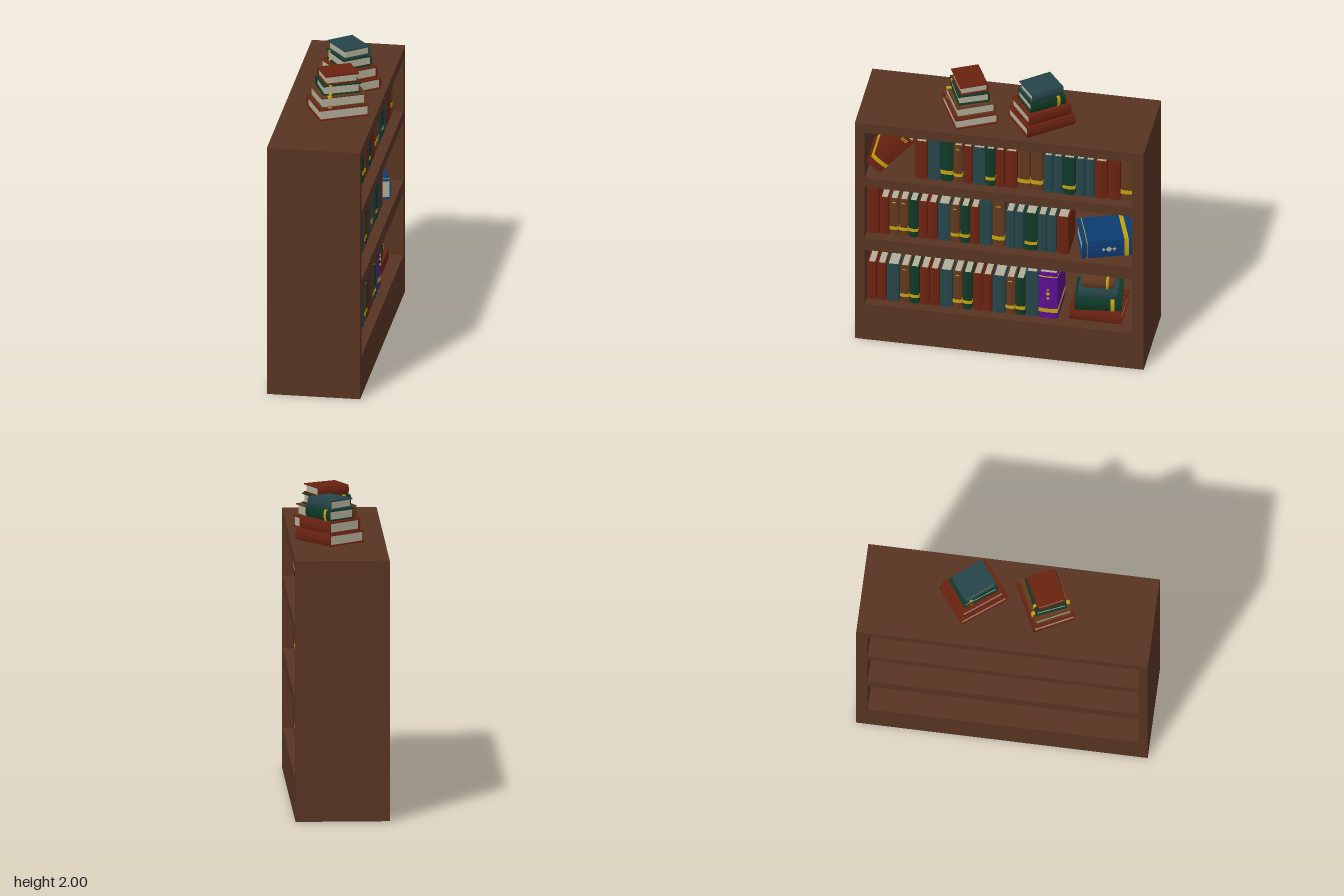
import * as THREE from 'three';

const mat = (name, color) => {
  const m = new THREE.MeshStandardMaterial({ color });
  m.name = name;
  return m;
};

export function createModel() {
  const M = {
    wood: mat('wood', 0x573422),
    r: mat('red cover', 0x6a2210),
    b: mat('slate blue cover', 0x254449),
    g: mat('green cover', 0x0f3825),
    n: mat('brown cover', 0x61381e),
    purple: mat('purple cover', 0x5a1090),
    royal: mat('royal blue cover', 0x0c3c72),
    page: mat('paper', 0xb2ad98),
    gold: mat('gold', 0xc4a010),
  };
  const model = new THREE.Group();
  model.name = 'bookcase';

  const add = (parent, name, geo, material, x = 0, y = 0, z = 0) => {
    const mesh = new THREE.Mesh(geo, material);
    mesh.name = name;
    mesh.position.set(x, y, z);
    parent.add(mesh);
    return mesh;
  };

  // Case: one slab with three openings that go right through
  const rect = (Type, x0, y0, x1, y1) => {
    const s = new Type();
    s.moveTo(x0, y0); s.lineTo(x1, y0); s.lineTo(x1, y1); s.lineTo(x0, y1); s.closePath();
    return s;
  };
  const face = rect(THREE.Shape, -0.95, 0, 0.95, 1.713);
  for (const [y0, y1] of [[0.278, 0.71], [0.803, 1.21], [1.28, 1.64]])
    face.holes.push(rect(THREE.Path, -0.886, y0, 0.875, y1));
  const caseGeo = new THREE.ExtrudeGeometry(face, { depth: 0.61, bevelEnabled: false });
  caseGeo.translate(0, 0, -0.305);
  caseGeo.rotateY(Math.PI / 2);
  add(model, 'case', caseGeo, M.wood);

  // U-shaped cover wrap with a gently curved spine, extruded upward from y0 to y1
  const wrap = (depth, thick, y0, y1, grow = 0) => {
    const x0 = -depth / 2 - grow, x1 = depth / 2 + grow, t = thick / 2 + grow;
    const board = 0.008, i = thick / 2 - board, xi = depth / 2 - 0.012;
    const s = new THREE.Shape();
    s.moveTo(x0, -t);
    s.lineTo(x1 - 0.008, -t);
    s.quadraticCurveTo(x1 + 0.006, 0, x1 - 0.008, t);
    s.lineTo(x0, t);
    s.lineTo(x0, i);
    s.lineTo(xi, i);
    s.lineTo(xi, -i);
    s.lineTo(x0, -i);
    s.closePath();
    const geo = new THREE.ExtrudeGeometry(s, { depth: y1 - y0, bevelEnabled: false, curveSegments: 4 });
    geo.rotateX(-Math.PI / 2);
    geo.translate(0, y0, 0);
    return geo;
  };

  // Book: spine toward +x, head toward +y, centred on its own middle
  const makeBook = (name, cover, thick, h, depth, bands = [], titles = []) => {
    const book = new THREE.Group();
    book.name = name;
    add(book, 'cover', wrap(depth, thick, -h / 2, h / 2), cover);
    add(book, 'pages', new THREE.BoxGeometry(depth - 0.022, h - 0.024, thick - 0.016), M.page, 0.0, 0, 0);
    for (const [a, b] of bands)
      add(book, 'band', wrap(depth, thick, (a - 0.5) * h, (b - 0.5) * h, 0.0015), M.gold);
    for (const f of titles)
      add(book, 'titleLine', new THREE.BoxGeometry(0.006, 0.005, thick * 0.4), M.gold, depth / 2, (f - 0.5) * h, 0);
    model.add(book);
    return book;
  };
  const BAND = [[0.15, 0.235]];
  const bandsFor = (c) => (c === 'g' || c === 'n' ? BAND : []);

  // Upright rows: letter = cover, capital = thick book, + = tall book
  const rows = [
    [1.28, 0.57, 1, 'R B+ G+ n r B g r R N+ N+ b b G b b R R+ N+'],
    [0.803, 0.886, 1, 'R+ r n n g r r B n g r B+ N+ b b G b b R'],
    [0.278, 0.886, 1.027, 'r r B n g r r B n g r r B n g B+'],
  ];
  for (const [y, start, scale, text] of rows) {
    let z = start;
    for (const code of text.split(' ')) {
      const c = code[0].toLowerCase();
      const pitch = (code[0] === c ? 0.0635 : 0.0845) * scale;
      const h = code[1] ? 0.353 : 0.29;
      const depth = code[1] ? 0.27 : 0.24;
      const book = makeBook('uprightBook', M[c], pitch - 0.006, h, depth, bandsFor(c), c === 'n' ? [0.9] : []);
      book.position.set(0.24 - depth / 2, y + h / 2, z - pitch / 2);
      z -= pitch;
    }
  }

  // Leaning red book
  const leaning = makeBook('leaningBook', M.r, 0.12, 0.346, 0.27, BAND, [0.9, 0.94]);
  leaning.position.set(0.105, 1.459, 0.731);
  leaning.rotation.x = -0.7;

  // Large purple book with a diamond ornament
  const purple = makeBook('purpleBook', M.purple, 0.124, 0.36, 0.28, [[0.13, 0.21], [0.9, 0.925]]);
  purple.position.set(0.1, 0.458, -0.308);
  for (const [y, s] of [[0.045, 0.012], [0.015, 0.02], [-0.02, 0.014]]) {
    const d = add(purple, 'ornament', new THREE.BoxGeometry(0.006, s, s), M.gold, 0.1415, y, 0);
    d.rotation.x = Math.PI / 4;
  }

  // Lay a book flat with its head toward +z, then turn it
  const layFlat = (book, x, y, z, yaw) => {
    book.position.set(x, y, z);
    book.rotation.set(Math.PI / 2, yaw, 0, 'YXZ');
  };

  // Royal blue book lying on the middle shelf
  const royal = makeBook('royalBlueBook', M.royal, 0.13, 0.35, 0.28, [[0.13, 0.21], [0.9, 0.915]]);
  layFlat(royal, 0.09, 0.87, -0.662, 0.33);
  for (const [y, s] of [[-0.035, 0.016], [0, 0.028], [0.035, 0.016]]) {
    const d = add(royal, 'ornament', new THREE.BoxGeometry(0.006, s, s), M.page, 0.1415, y, 0);
    d.rotation.x = Math.PI / 4;
  }

  // Stacks of flat books: x, base y, z, then [cover, length, thickness, yaw]
  const stacks = [
    ['shelfStack', 0.08, 0.278, -0.615,
      [['r', 0.345, 0.077, 0], ['g', 0.305, 0.08, 0.12], ['b', 0.25, 0.067, 0.06], ['n', 0.205, 0.062, 0.06]]],
    ['frontTopStack', 0.05, 1.713, 0.24,
      [['r', 0.34, 0.077, 2.03], ['n', 0.305, 0.077, 2.03], ['g', 0.25, 0.07, 1.98], ['r', 0.225, 0.063, 2.03]]],
    ['rearTopStack', 0.05, 1.713, -0.23,
      [['r', 0.345, 0.077, 0.65], ['r', 0.307, 0.077, 0.65], ['g', 0.247, 0.07, 0.63], ['b', 0.225, 0.063, 0.67]]],
  ];
  for (const [name, x, base, z, books] of stacks) {
    let y = base;
    for (const [c, len, thick, yaw] of books) {
      const book = makeBook(name + 'Book', M[c], thick - 0.002, len, len * 0.85, bandsFor(c));
      layFlat(book, x, y + thick / 2, z, yaw);
      y += thick;
    }
  }
  return model;
}
